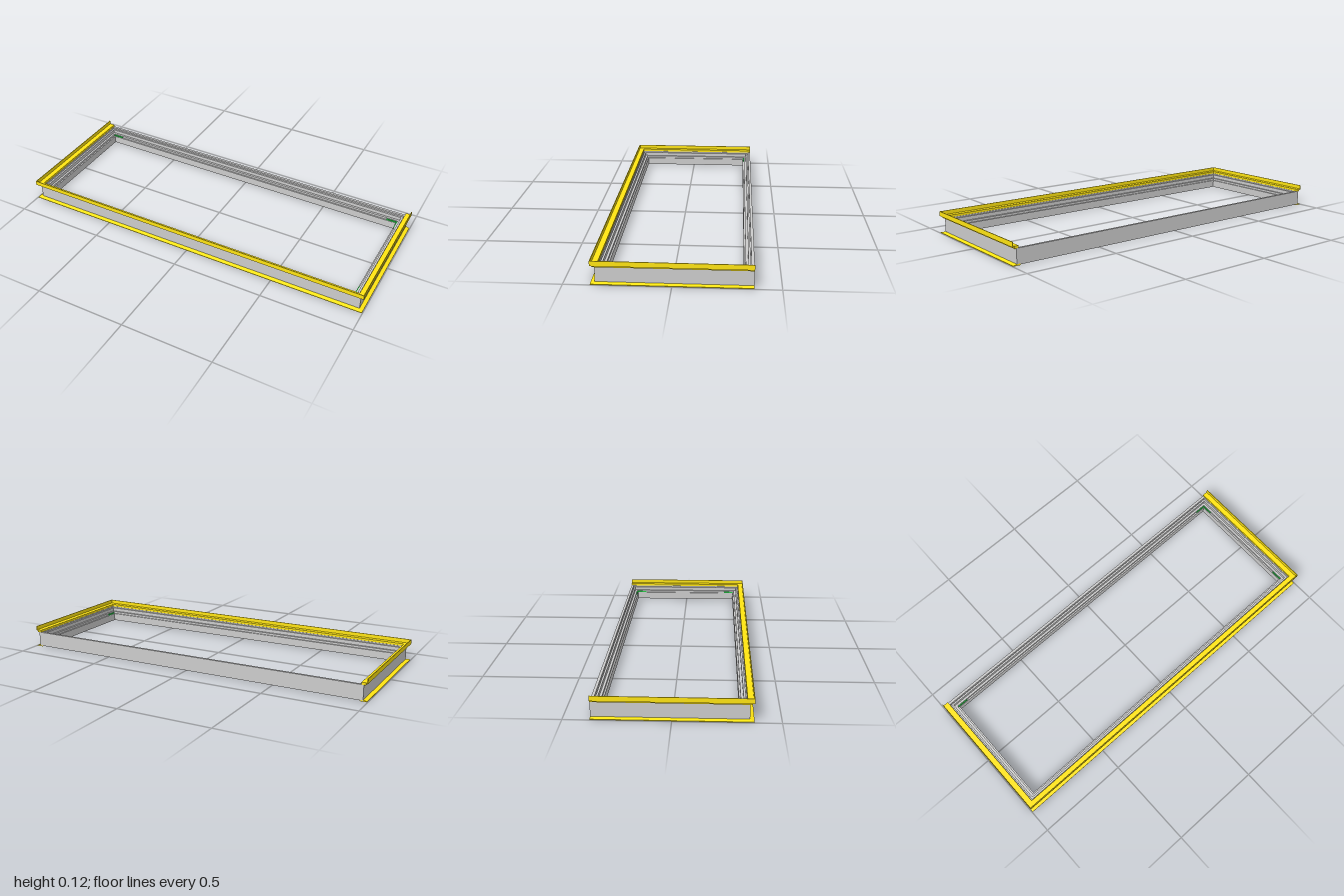
import * as THREE from 'three';

const grey = new THREE.MeshStandardMaterial({ color: 0xcccccc, flatShading: true });
const yellow = new THREE.MeshStandardMaterial({ color: 0xffe512, flatShading: true });
const green = new THREE.MeshStandardMaterial({ color: 0x22cc44, flatShading: true });

// Outer faces of the frame
const SIDE = 0.977, FRONT = 0.355, BACK = -0.374;

// Sweeps a counter-clockwise profile of [outward offset, height] with mitred corners.
// Closed: all four sides. Open: right, front and left, cut flush at the back.
function sweep(name, profile, material, closed) {
  const station = (sx, atFront) => profile.map(([d, y]) => new THREE.Vector3(
    sx * (SIDE + d), y, atFront ? FRONT + d : BACK - (closed ? d : 0)));
  const stations = [station(1, false), station(1, true), station(-1, true), station(-1, false)];
  const positions = [];
  const tri = (...points) => points.forEach((p) => positions.push(p.x, p.y, p.z));
  const n = profile.length;
  for (let s = 0; s < (closed ? 4 : 3); s++) {
    const a = stations[s], b = stations[(s + 1) % 4];
    for (let i = 0; i < n; i++) {
      const j = (i + 1) % n;
      tri(a[i], a[j], b[j]);
      tri(a[i], b[j], b[i]);
    }
  }
  if (!closed) {
    const contour = profile.map(([d, y]) => new THREE.Vector2(d, y));
    for (const [i, j, k] of THREE.ShapeUtils.triangulateShape(contour, [])) {
      const a = stations[0], b = stations[3];
      tri(a[k], a[j], a[i]);
      tri(b[i], b[j], b[k]);
    }
  }
  const geometry = new THREE.BufferGeometry();
  geometry.setAttribute('position', new THREE.Float32BufferAttribute(positions, 3));
  geometry.computeVertexNormals();
  const mesh = new THREE.Mesh(geometry, material);
  mesh.name = name;
  return mesh;
}

function box(name, size, position, material) {
  const mesh = new THREE.Mesh(new THREE.BoxGeometry(...size), material);
  mesh.name = name;
  mesh.position.set(...position);
  return mesh;
}

export function createModel() {
  const group = new THREE.Group();
  group.name = 'windowFrame';

  // Frame: stepped on the inside, grooved underneath
  group.add(sweep('frame', [
    [0, 0.004], [0, 0.084], [-0.014, 0.084], [-0.014, 0.068],
    [-0.018, 0.068], [-0.018, 0.078], [-0.028, 0.078], [-0.028, 0.058],
    [-0.040, 0.058], [-0.040, 0.046], [-0.048, 0.046], [-0.048, 0.004],
    [-0.036, 0.004], [-0.036, 0.014], [-0.020, 0.014], [-0.020, 0.004],
  ], grey, true));

  // Upper trim: ledge on the frame with an upturned outer lip
  group.add(sweep('upperTrim', [
    [-0.012, 0.083], [0.010, 0.083], [0.010, 0.092], [0.020, 0.092],
    [0.020, 0.117], [0.016, 0.117], [0.016, 0.096], [-0.012, 0.096],
  ], yellow, false));

  // Lower trim: thin flange tapering outward
  group.add(sweep('lowerTrim', [
    [-0.018, 0], [0.020, 0], [0.020, 0.003], [0.001, 0.008], [-0.018, 0.008],
  ], yellow, false));

  // Small brackets in the inner corners
  const brackets = new THREE.Group();
  brackets.name = 'cornerBrackets';
  for (const sx of [-1, 1]) {
    brackets.add(box('backBracket', [0.06, 0.008, 0.005], [sx * 0.905, 0.05, -0.331], green));
  }
  for (const z of [-0.302, 0.28]) {
    brackets.add(box('leftBracket', [0.005, 0.008, 0.058], [0.934, 0.05, z], green));
  }
  group.add(brackets);

  return group;
}
